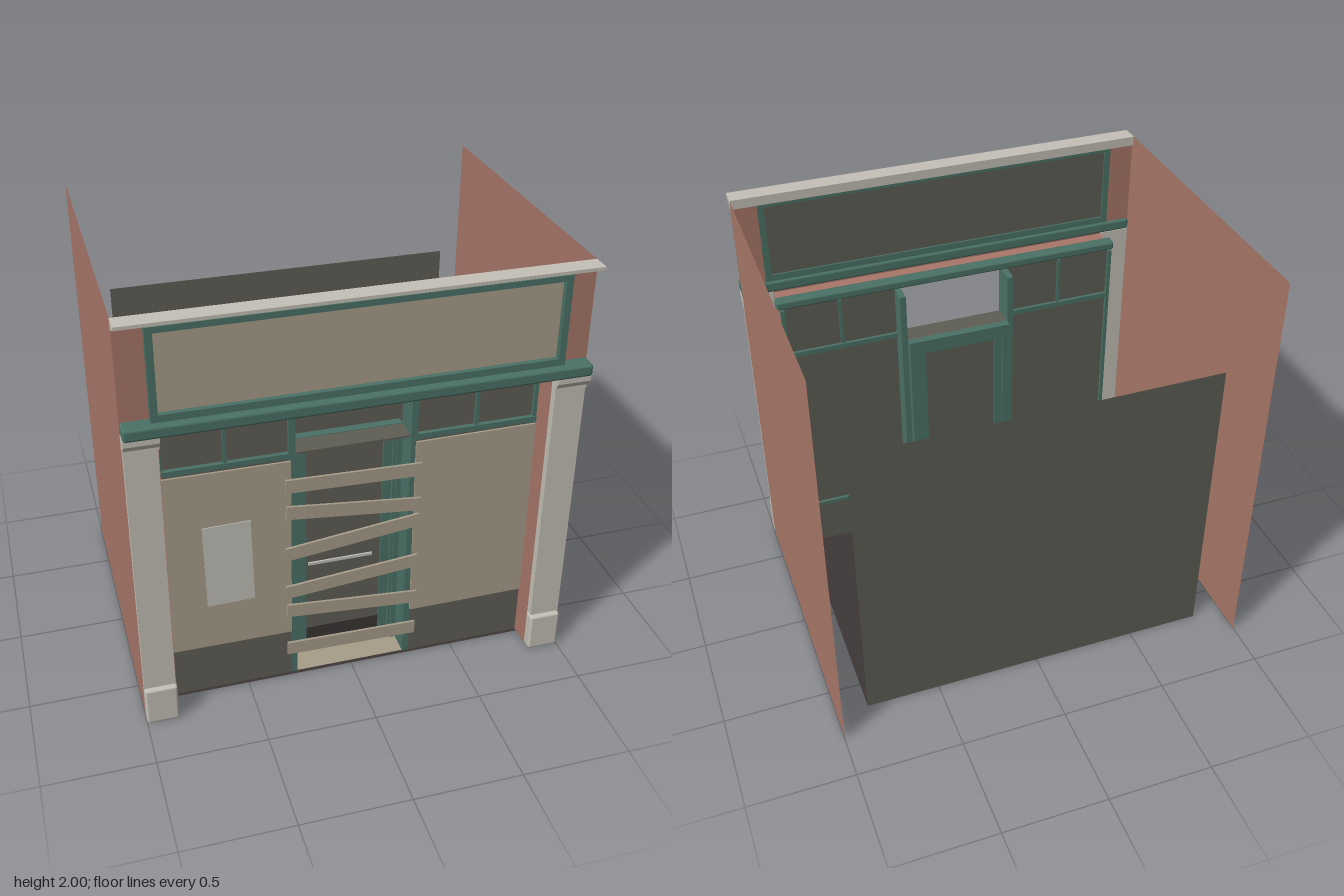
import * as THREE from 'three';
import { RoundedBoxGeometry } from 'three/addons/geometries/RoundedBoxGeometry.js';

const mat = (name, color, side = THREE.FrontSide) => {
  const m = new THREE.MeshStandardMaterial({ color, side });
  m.name = name;
  return m;
};

export function createModel() {
  const model = new THREE.Group();
  model.name = 'shopfront';

  const brick = mat('brick', 0xa87769, THREE.DoubleSide);
  const stone = mat('stone', 0xc5c1b7);
  const green = mat('green paint', 0x4b7266);
  const wood = mat('weathered plywood', 0xa89d8a);
  const grey = mat('dark grey', 0x5f5e55, THREE.DoubleSide);
  const dark = mat('dark floor', 0x3d3636, THREE.DoubleSide);
  const paper = mat('paper', 0xc3c1ba);

  const add = (name, geometry, material) => {
    const mesh = new THREE.Mesh(geometry, material);
    mesh.name = name;
    model.add(mesh);
    return mesh;
  };
  // box given by its limits; r rounds the edges
  const box = (name, material, x0, x1, y0, y1, z0, z1, r = 0) => {
    const w = x1 - x0, h = y1 - y0, d = z1 - z0;
    const g = r ? new RoundedBoxGeometry(w, h, d, 2, r) : new THREE.BoxGeometry(w, h, d);
    g.translate((x0 + x1) / 2, (y0 + y1) / 2, (z0 + z1) / 2);
    return add(name, g, material);
  };
  // the same box on both sides of the centre line
  const pair = (name, material, x0, x1, ...rest) => {
    box(name + 'Left', material, x0, x1, ...rest);
    box(name + 'Right', material, -x1, -x0, ...rest);
  };
  // side profile of [z, y] points swept from x0 to x1
  const sweep = (name, material, points, x0, x1) => {
    const shape = new THREE.Shape(points.map(([z, y]) => new THREE.Vector2(-z, y)));
    const g = new THREE.ExtrudeGeometry(shape, { depth: x1 - x0, bevelEnabled: false });
    g.rotateY(Math.PI / 2).translate(x0, 0, 0);
    return add(name, g, material);
  };
  // upright sheet facing along z
  const sheet = (name, material, x0, x1, y0, y1, z) => {
    const g = new THREE.PlaneGeometry(x1 - x0, y1 - y0);
    g.translate((x0 + x1) / 2, (y0 + y1) / 2, z);
    return add(name, g, material);
  };
  // level sheet
  const level = (name, material, x0, x1, z0, z1, y) => {
    const g = new THREE.PlaneGeometry(x1 - x0, z1 - z0).rotateX(-Math.PI / 2);
    g.translate((x0 + x1) / 2, y, (z0 + z1) / 2);
    return add(name, g, material);
  };

  // outer walls, short brick returns and room shell
  for (const s of [-1, 1]) {
    const side = new THREE.PlaneGeometry(1.495, 2).rotateY(s * Math.PI / 2);
    add('sideWall', side.translate(s * 0.999, 1, -0.0375), brick);
    const back = new THREE.PlaneGeometry(0.13, 1.48).rotateY(-s * Math.PI / 2);
    add('brickReturn', back.translate(s * 0.852, 0.74, 0.645), brick);
  }
  sheet('backWall', grey, -0.85, 0.85, 0, 1.5, -0.64);
  level('floor', dark, -0.85, 0.85, -0.64, 0.62, 0.002);
  level('brickSoffit', brick, -0.85, 0.85, 0.6, 0.71, 1.485);

  // upper brick wall, open behind the sign
  const upper = new THREE.Shape([[-1, 1.485], [1, 1.485], [1, 1.99], [-1, 1.99]].map(p => new THREE.Vector2(...p)));
  upper.holes.push(new THREE.Path([[-0.87, 1.56], [-0.87, 1.955], [0.87, 1.955], [0.87, 1.56]].map(p => new THREE.Vector2(...p))));
  add('upperBrickWall', new THREE.ShapeGeometry(upper).translate(0, 0, 0.71), brick);

  // cornice and green ledge
  sweep('cornice', stone, [[0.7, 1.955], [0.72, 1.955], [0.735, 1.965], [0.76, 1.975], [0.785, 1.985], [0.785, 2], [0.7, 2]], -1, 1);
  box('ledge', green, -1, 1, 1.495, 1.55, 0.695, 0.785, 0.012);

  // sign board
  box('signFrameBottom', green, -0.88, 0.88, 1.55, 1.582, 0.705, 0.75);
  box('signFrameTop', green, -0.88, 0.88, 1.938, 1.965, 0.705, 0.75);
  pair('signFrameSide', green, 0.85, 0.88, 1.582, 1.938, 0.705, 0.75);
  sheet('signBack', grey, -0.85, 0.85, 1.58, 1.94, 0.714);
  box('signPanel', wood, -0.848, 0.848, 1.582, 1.938, 0.718, 0.726);

  // pilasters
  pair('pilasterShaft', stone, 0.858, 0.998, 0.17, 1.43, 0.7, 0.737);
  pair('pilasterBase', stone, 0.852, 1, 0, 0.19, 0.7, 0.76, 0.012);
  const cap = [[0.7, 1.42], [0.742, 1.42], [0.742, 1.438], [0.755, 1.442], [0.765, 1.465], [0.772, 1.468], [0.772, 1.495], [0.7, 1.495]];
  sweep('pilasterCapLeft', stone, cap, 0.852, 1);
  sweep('pilasterCapRight', stone, cap, -1, -0.852);

  // shopfront frame
  box('headBeam', green, -0.865, 0.865, 1.463, 1.505, 0.57, 0.632, 0.01);
  pair('post', green, 0.26, 0.29, 0, 1.465, 0.485, 0.605);
  pair('edgeStile', green, 0.832, 0.85, 0, 1.465, 0.56, 0.6);
  pair('transomRail', green, 0.29, 0.85, 1.195, 1.22, 0.56, 0.605);
  pair('transomBar', green, 0.557, 0.573, 1.22, 1.465, 0.565, 0.6);
  pair('windowSill', green, 0.29, 0.85, 0.235, 0.255, 0.56, 0.6);
  pair('window', grey, 0.285, 0.84, 0.25, 1.465, 0.576, 0.584);
  pair('stallRiser', grey, 0.285, 0.85, 0.002, 0.252, 0.56, 0.603);

  // window boarding, each sheet slightly crooked
  for (const s of [-1, 1]) {
    const board = add('windowBoard', new THREE.BoxGeometry(0.562, 0.93, 0.01), wood);
    board.position.set(s * 0.566, 0.722, 0.609);
    board.rotation.z = s * 0.006;
  }
  const poster = add('poster', new THREE.BoxGeometry(0.215, 0.425, 0.004), paper);
  poster.position.set(-0.57, 0.705, 0.617);
  poster.rotation.z = 0.02;

  // door recess
  box('recessCeiling', grey, -0.26, 0.26, 1.205, 1.215, 0.48, 0.595);
  level('recessFloor', wood, -0.26, 0.26, 0.47, 0.605, 0.006);
  pair('doorJamb', green, 0.222, 0.26, 0, 1.215, 0.45, 0.49);
  pair('doorJambBead', green, 0.236, 0.26, 0, 1.215, 0.485, 0.5);
  box('doorHead', green, -0.26, 0.26, 1.178, 1.218, 0.45, 0.49);
  pair('doorStile', green, 0.18, 0.22, 0.01, 1.178, 0.455, 0.478);
  box('doorTopRail', green, -0.18, 0.18, 1.142, 1.178, 0.455, 0.478);
  box('doorBottomRail', green, -0.18, 0.18, 0.01, 0.052, 0.455, 0.478);
  sheet('doorKickPanel', dark, -0.18, 0.18, 0.05, 0.13, 0.465);
  sheet('doorGlass', grey, -0.18, 0.18, 0.13, 1.145, 0.465);
  box('doorPushBar', paper, -0.17, 0.14, 0.508, 0.522, 0.468, 0.476);

  // planks nailed across the doorway: [height at -x end, height at +x end]
  const planks = [[0.165, 0.155], [0.387, 0.337], [0.492, 0.55], [0.703, 0.778], [0.928, 0.863], [1.065, 1.048]];
  for (const [a, b] of planks) {
    const plank = add('plank', new THREE.BoxGeometry(0.622, 0.066, 0.012), wood);
    plank.position.set(0, (a + b) / 2, 0.62);
    plank.rotation.z = Math.atan2(b - a, 0.62);
  }
  return model;
}
